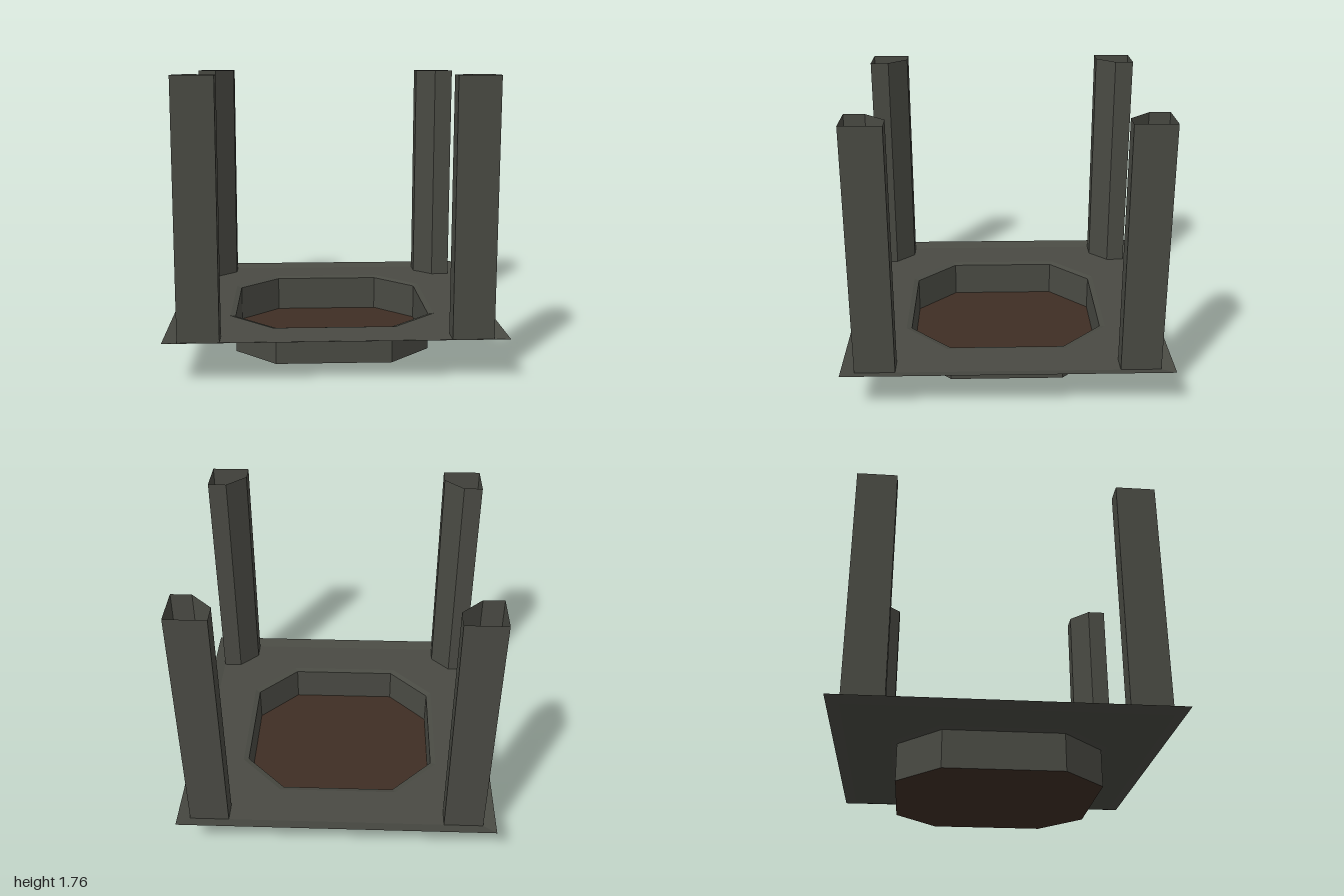
import * as THREE from 'three';

const stone = new THREE.MeshStandardMaterial({ color: 0x494a43, side: THREE.DoubleSide });
stone.name = 'grey stone';
const earth = new THREE.MeshStandardMaterial({ color: 0x3f2e24, side: THREE.DoubleSide });
earth.name = 'brown earth';

// Flat-faced band joining two loops of [x, z] points at heights y0 and y1
function band(loop0, y0, loop1, y1) {
  const pos = [];
  loop0.forEach((a, i) => {
    const j = (i + 1) % loop0.length;
    const A = [a[0], y0, a[1]], B = [loop0[j][0], y0, loop0[j][1]];
    const C = [loop1[j][0], y1, loop1[j][1]], D = [loop1[i][0], y1, loop1[i][1]];
    pos.push(...A, ...D, ...C, ...A, ...C, ...B);
  });
  const g = new THREE.BufferGeometry();
  g.setAttribute('position', new THREE.Float32BufferAttribute(pos, 3));
  g.computeVertexNormals();
  return g;
}

// Horizontal sheet with an optional hole
function sheet(loop, y, hole) {
  const toPoints = l => l.map(([x, z]) => new THREE.Vector2(x, -z));
  const shape = new THREE.Shape(toPoints(loop));
  if (hole) shape.holes.push(new THREE.Path(toPoints(hole)));
  return new THREE.ShapeGeometry(shape).rotateX(-Math.PI / 2).translate(0, y, 0);
}

const square = r => [[r, r], [-r, r], [-r, -r], [r, -r]];
const octagon = (r, c) => [[r, c], [c, r], [-c, r], [-r, c], [-r, -c], [-c, -r], [c, -r], [r, -c]];

export function createModel() {
  const model = new THREE.Group();
  const add = (name, geometry, material) => {
    const mesh = new THREE.Mesh(geometry, material);
    mesh.name = name;
    model.add(mesh);
  };

  const plateY = 0.24, lipY = 0.23;
  const pit = octagon(0.617, 0.357), opening = octagon(0.65, 0.376);

  // Thin platform with an upturned edge
  add('platform', sheet(square(0.922), plateY, opening), stone);
  add('platformRim', band(square(0.922), plateY, square(1), 0.262), stone);

  // Sunken eight-sided pit with a narrow sloping lip
  add('pitLip', band(pit, lipY, opening, plateY), stone);
  add('pitWall', band(pit, 0, pit, lipY), stone);
  add('pitFloor', sheet(pit, 0), earth);

  // Hollow, open-topped pillars with the inward corner cut off
  const o = 0.922, m = 0.8, i = 0.677;
  const section = [[o, o], [i, o], [i, m], [m, i], [o, i]];
  for (let k = 0; k < 4; k++) {
    add('pillar' + (k + 1), band(section, plateY, section, 1.765).rotateY(k * Math.PI / 2), stone);
  }
  return model;
}
